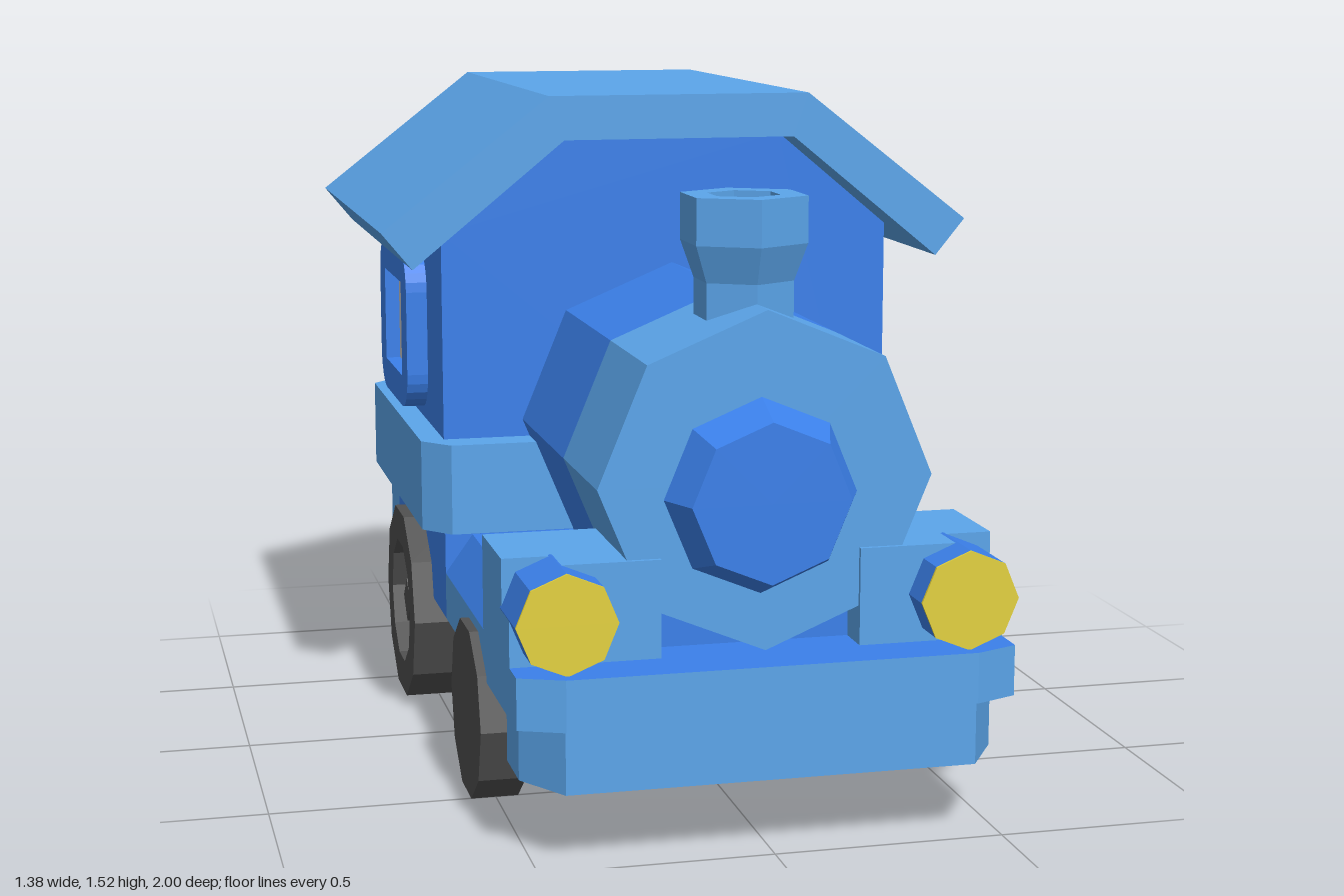
import * as THREE from 'three';

const mat = (color) => new THREE.MeshStandardMaterial({ color, flatShading: true });
const LIGHT = mat(0x5ba5ea), BLUE = mat(0x3b80ea), DARK = mat(0x505050);
const YELLOW = mat(0xe3d140), GREY = mat(0xcccccc);

export function createModel() {
  const train = new THREE.Group();
  train.name = 'toyTrain';

  const add = (name, geo, material, parent = train) => {
    const mesh = new THREE.Mesh(geo, material);
    mesh.name = name;
    parent.add(mesh);
    return mesh;
  };
  // box given by its limits
  const box = (x0, x1, y0, y1, z0, z1) =>
    new THREE.BoxGeometry(Math.abs(x1 - x0), y1 - y0, z1 - z0)
      .translate((x0 + x1) / 2, (y0 + y1) / 2, (z0 + z1) / 2);
  const shapeOf = (pts) => new THREE.Shape(pts.map(([x, y]) => new THREE.Vector2(x, y)));
  // half outline plus its mirror image in x
  const mirrored = (half) => [...half, ...half.map(([x, y]) => [-x, y]).reverse()];
  const extrude = (shape, depth) =>
    new THREE.ExtrudeGeometry(shape, { depth, bevelEnabled: false, curveSegments: 3 });
  // outline in the x-y plane, pulled from z0 to z1
  const alongZ = (half, z0, z1) => extrude(shapeOf(mirrored(half)), z1 - z0).translate(0, 0, z0);
  // plan outline of x, z pairs, pulled from y0 to y1
  const alongY = (half, y0, y1) =>
    extrude(shapeOf(mirrored(half.map(([x, z]) => [x, -z]))), y1 - y0)
      .rotateX(-Math.PI / 2).translate(0, y0, 0);
  // faceted cylinder lying along z
  const barrel = (rFront, rBack, z0, z1, x, y) =>
    new THREE.CylinderGeometry(rFront, rBack, z1 - z0, 8)
      .rotateX(Math.PI / 2).translate(x, y, (z0 + z1) / 2);

  // Cabin, roof and waist band
  add('cabin', alongZ([[0.535, 0.32], [0.535, 1.21], [0.27, 1.43]], -0.845, 0.05), BLUE);
  add('cabinBase', box(-0.535, 0.535, 0.3, 0.6, -0.88, 0.05), BLUE);
  add('roof', alongZ([[0.62, 1.145], [0.69, 1.23], [0.305, 1.53]]
    .concat([]), -0.94, 0.18), LIGHT).geometry = extrude(shapeOf([
    [0.62, 1.145], [0.69, 1.23], [0.305, 1.53], [-0.305, 1.53], [-0.69, 1.23],
    [-0.62, 1.145], [-0.27, 1.43], [0.27, 1.43]]), 1.12).translate(0, 0, -0.94);
  add('waistBand', alongY([[0.46, -0.905], [0.59, -0.77], [0.59, 0.06], [0.53, 0.13]], 0.52, 0.73), LIGHT);

  // Rear bumper: a bent strip
  add('rearBumper', alongY([[0.28, -0.87], [0.47, -0.74], [0.535, -0.74], [0.535, -0.88], [0.3, -1]], 0.29, 0.46), LIGHT);

  // Front platform with blue top, running boards, and bent front bumper
  const plan = [[0.535, 0.05], [0.535, 0.96], [0.44, 1]];
  add('platform', alongY(plan, 0.3, 0.4), LIGHT);
  add('platformTop', alongY(plan, 0.4, 0.41), [BLUE, LIGHT]);
  add('runningBoard', alongZ([[0.535, 0.41], [0.47, 0.5]], 0.05, 0.8), BLUE);
  add('frontBumper', alongY([[0.39, 0.91], [0.44, 0.85], [0.44, 0.735],
    [0.515, 0.735], [0.515, 0.87], [0.44, 0.99]], 0.165, 0.3), LIGHT);

  // Boiler
  add('boilerRear', barrel(0.36, 0.36, 0.04, 0.53, 0.012, 0.77), BLUE);
  add('boilerFront', barrel(0.36, 0.36, 0.53, 0.875, 0.012, 0.77), LIGHT);
  add('boilerDoor', barrel(0.17, 0.21, 0.87, 0.965, 0, 0.742), BLUE);

  // Chimney, hollow at the top
  const chimney = [[0.11, 1.05], [0.11, 1.17], [0.14, 1.25], [0.14, 1.35], [0.08, 1.35], [0.08, 1.24]]
    .map(([r, y]) => new THREE.Vector2(r, y));
  add('chimney', new THREE.LatheGeometry(chimney, 6).translate(0.013, 0, 0.68), LIGHT);
  add('chimneyFloor', new THREE.CylinderGeometry(0.08, 0.08, 0.02, 6).translate(0.013, 1.25, 0.68), BLUE);

  // Window frame outline with rounded corners and a square opening
  const w = 0.233, h = 0.19, r = 0.09;
  const frame = new THREE.Shape();
  [[w - r, h - r], [r - w, h - r], [r - w, r - h], [w - r, r - h]].forEach(([x, y], i) =>
    frame.absarc(x, y, r, i * Math.PI / 2, (i + 1) * Math.PI / 2, false));
  frame.holes.push(shapeOf([[-0.143, -0.115], [-0.143, 0.115], [0.143, 0.115], [0.143, -0.115]]));

  const rearTyre = [[0, 0], [0.24, 0], [0.24, 0.135], [0.155, 0.135], [0.155, 0.08]]
    .map(([a, b]) => new THREE.Vector2(a, b));

  for (const s of [1, -1]) {
    const side = s > 0 ? 'left' : 'right';
    const sideGroup = (name, x, y, z) => {
      const g = new THREE.Group();
      g.name = side + name;
      g.position.set(s * x, y, z);
      g.rotation.y = s > 0 ? 0 : Math.PI;
      train.add(g);
      return g;
    };

    // Lamp housing: cut away around the upper outer part of the lamp
    const housing = new THREE.Group();
    housing.name = side + 'LampHousing';
    train.add(housing);
    add('housingInner', box(s * 0.215, s * 0.43, 0.41, 0.62, 0.57, 0.885), LIGHT, housing);
    add('housingUpper', box(s * 0.43, s * 0.535, 0.515, 0.62, 0.57, 0.8), LIGHT, housing);
    add('housingLower', box(s * 0.43, s * 0.535, 0.41, 0.515, 0.57, 0.885), LIGHT, housing);
    add('headlight', barrel(0.107, 0.107, 0.79, 0.964, s * 0.43, 0.515), BLUE, housing);
    add('headlightLens', barrel(0.107, 0.107, 0.964, 0.97, s * 0.43, 0.515), YELLOW, housing);

    // Side window
    const win = sideGroup('Window', 0.53, 0.945, -0.418);
    add('windowFrame', extrude(frame, 0.055).rotateY(Math.PI / 2), BLUE, win);
    add('windowGlass', new THREE.BoxGeometry(0.02, 0.23, 0.286).translate(0.01, 0, 0), GREY, win);

    // Wheels, built along y and laid on their side
    const lay = (geo) => geo.rotateZ(-Math.PI / 2);
    const front = sideGroup('FrontWheel', 0.45, 0.197, 0.44);
    add('tyre', lay(new THREE.CylinderGeometry(0.2, 0.2, 0.105, 10).translate(0, 0.0525, 0)), DARK, front);

    const rear = sideGroup('RearWheel', 0.45, 0.243, -0.37);
    add('tyre', lay(new THREE.LatheGeometry(rearTyre, 10)), DARK, rear);
    add('hub', lay(new THREE.CylinderGeometry(0.155, 0.155, 0.03, 10).translate(0, 0.075, 0)), LIGHT, rear);
    add('axle', lay(new THREE.CylinderGeometry(0.055, 0.055, 0.14, 4).translate(0, 0.05, 0)), DARK, rear);
  }
  return train;
}
